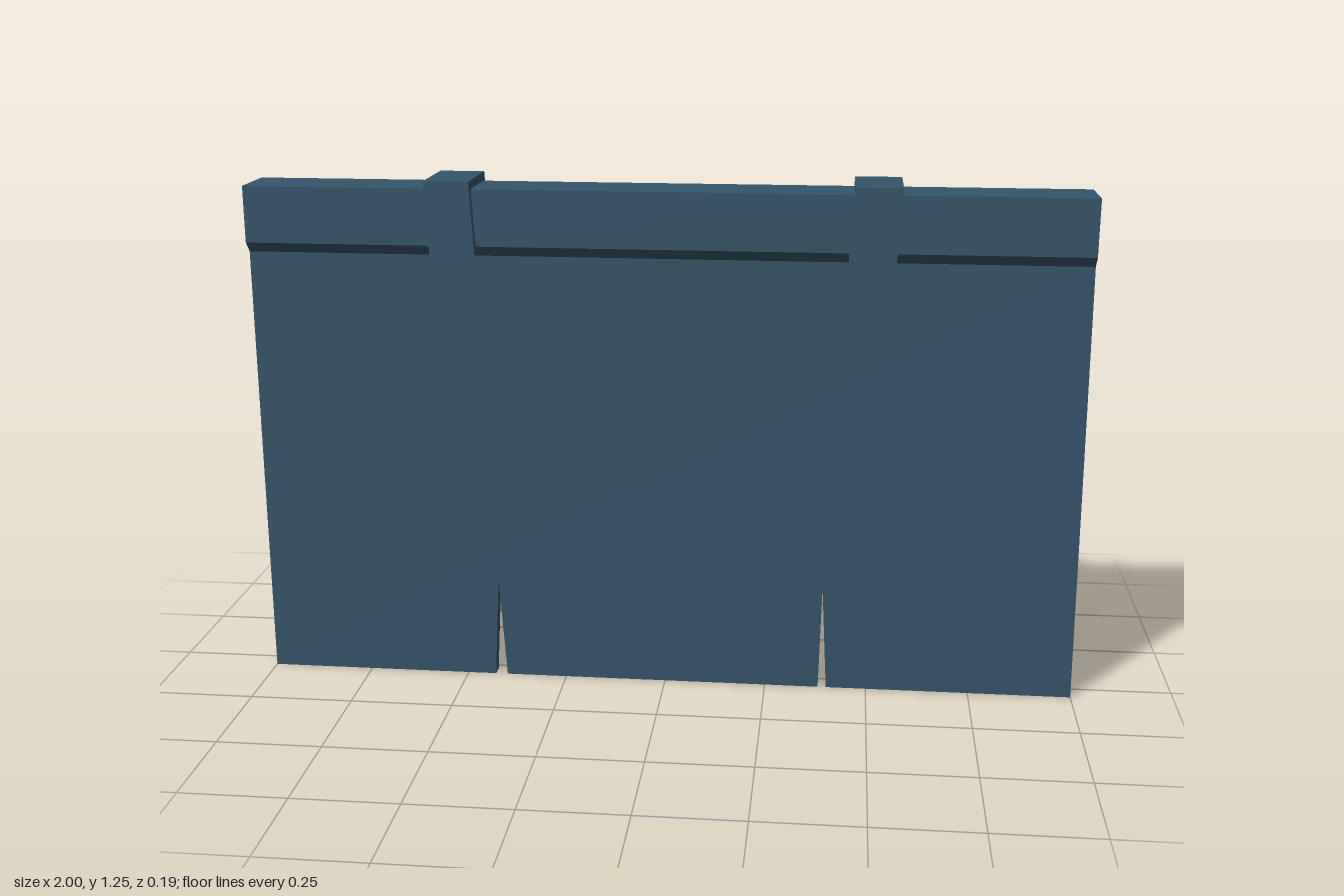
import * as THREE from 'three';

const slate = new THREE.MeshStandardMaterial({ color: 0x35566b });
slate.name = 'slateBlue';

const toShape = (pts) => new THREE.Shape(pts.map(([a, b]) => new THREE.Vector2(a, b)));

// Extrudes a (z, y) profile along x, from x0 to x1
function extrudeAlongX(profile, x0, x1) {
  const g = new THREE.ExtrudeGeometry(toShape(profile), { depth: x1 - x0, bevelEnabled: false });
  g.rotateY(-Math.PI / 2);
  g.translate(x1, 0, 0);
  return g;
}

function addPart(group, name, geometry) {
  const mesh = new THREE.Mesh(geometry, slate);
  mesh.name = name;
  group.add(mesh);
}

export function createModel() {
  const group = new THREE.Group();
  group.name = 'hangingCloth';

  // Cloth sheet with two narrow slits in the lower hem
  const cloth = new THREE.ExtrudeGeometry(toShape([
    [-1, 0], [-0.43, 0], [-0.417, 0.255], [-0.4, 0],
    [0.382, 0], [0.388, 0.262], [0.402, 0], [1, 0],
    [0.99, 1.08], [-1, 1.08],
  ]), { depth: 0.034, bevelEnabled: false });
  cloth.translate(0, 0, 0.016);
  addPart(group, 'cloth', cloth);

  // Beam with an underside that slopes down to the cloth
  addPart(group, 'beam', extrudeAlongX([
    [-0.072, 1.095], [-0.03, 1.075], [0.016, 1.07], [0.05, 1.07],
    [0.073, 1.095], [0.073, 1.23], [-0.072, 1.23],
  ], -1, 0.99));

  // Leaning straps folded over the beam, mitred at their lower ends
  const strapProfile = [
    [0.095, 1.075], [0.095, 1.25], [-0.092, 1.25], [-0.092, 1.075],
    [-0.07, 1.097], [-0.07, 1.228], [0.071, 1.228], [0.071, 1.097],
  ];
  for (const [name, x0, x1, lean] of [
    ['rightStrap', -0.56, -0.453, 0.01],
    ['leftStrap', 0.438, 0.548, -0.01],
  ]) {
    const strap = extrudeAlongX(strapProfile, x0, x1);
    const p = strap.attributes.position;
    for (let i = 0; i < p.count; i++) {
      p.setX(i, p.getX(i) + lean * (1.25 - p.getY(i)) / 0.175);
    }
    strap.computeVertexNormals();
    addPart(group, name, strap);
  }
  return group;
}
